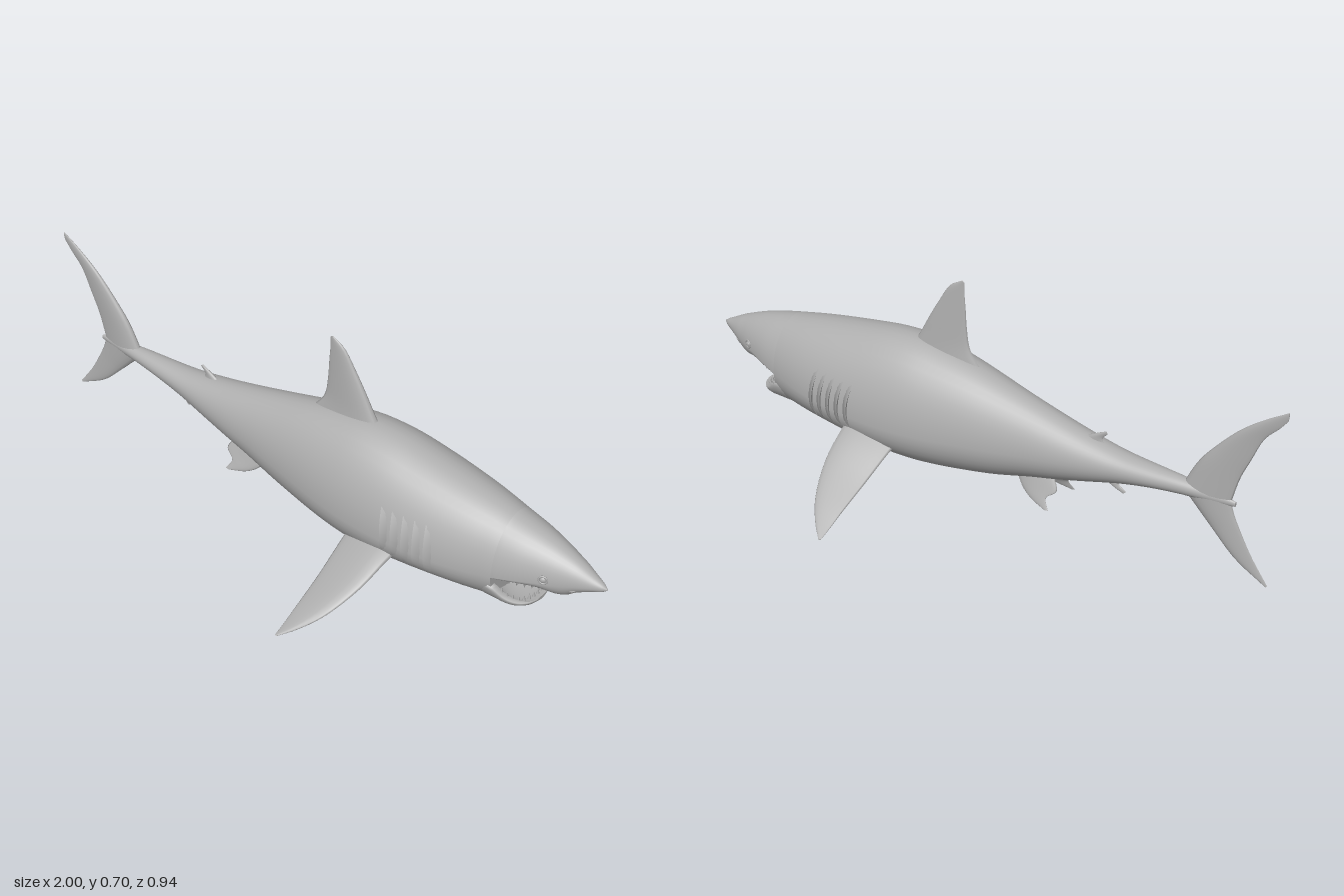
import * as THREE from 'three';

const skin = new THREE.MeshStandardMaterial({ color: 0xb0b0b0 });
skin.name = 'grey skin';

// Body stations: x, top, bottom, half width, height of the widest line
const BODY = [
  [-0.86, 0.305, 0.290, 0.004, 0.298], [-0.80, 0.315, 0.280, 0.013, 0.298],
  [-0.70, 0.322, 0.272, 0.026, 0.298], [-0.60, 0.325, 0.258, 0.038, 0.292],
  [-0.50, 0.330, 0.235, 0.050, 0.285], [-0.40, 0.345, 0.205, 0.065, 0.275],
  [-0.30, 0.366, 0.176, 0.080, 0.265], [-0.20, 0.390, 0.150, 0.095, 0.255],
  [-0.10, 0.415, 0.122, 0.113, 0.245], [0.00, 0.440, 0.102, 0.132, 0.238],
  [0.10, 0.460, 0.088, 0.150, 0.230], [0.20, 0.474, 0.080, 0.163, 0.225],
  [0.30, 0.471, 0.083, 0.168, 0.222], [0.40, 0.455, 0.094, 0.166, 0.222],
  [0.50, 0.437, 0.102, 0.157, 0.224], [0.60, 0.418, 0.106, 0.140, 0.229],
  [0.70, 0.396, 0.111, 0.115, 0.236],
];
// Snout above the mouth, same columns
const SNOUT = [
  [0.70, 0.396, 0.216, 0.115, 0.236], [0.76, 0.381, 0.219, 0.100, 0.248],
  [0.82, 0.364, 0.217, 0.080, 0.258], [0.86, 0.350, 0.207, 0.066, 0.262],
  [0.89, 0.338, 0.212, 0.054, 0.266], [0.92, 0.325, 0.235, 0.042, 0.272],
  [0.96, 0.304, 0.256, 0.024, 0.277], [0.985, 0.291, 0.266, 0.012, 0.279],
  [1.00, 0.281, 0.277, 0.002, 0.279],
];
// Lower jaw: x, rim, bottom, half width, hollow depth ratio
const JAW = [
  [0.66, 0.205, 0.108, 0.113, 0.6], [0.70, 0.200, 0.110, 0.112, 0.6],
  [0.735, 0.172, 0.114, 0.100, 0.5], [0.765, 0.156, 0.120, 0.082, 0.35],
  [0.79, 0.150, 0.128, 0.055, 0.15], [0.803, 0.149, 0.138, 0.025, 0],
];

const V = (x, y, z) => new THREE.Vector3(x, y, z);

// Smooth interpolation of a station table at x
function sample(rows, x) {
  let i = 0;
  while (i < rows.length - 2 && x > rows[i + 1][0]) i++;
  const slope = (k, c) => {
    const a = rows[Math.max(k - 1, 0)], b = rows[Math.min(k + 1, rows.length - 1)];
    return (b[c] - a[c]) / (b[0] - a[0]);
  };
  const a = rows[i], b = rows[i + 1], h = b[0] - a[0], t = (x - a[0]) / h;
  const t2 = t * t, t3 = t2 * t;
  return a.map((v, c) => c === 0 ? x
    : (2 * t3 - 3 * t2 + 1) * v + (t3 - 2 * t2 + t) * h * slope(i, c)
    + (3 * t2 - 2 * t3) * b[c] + (t3 - t2) * h * slope(i + 1, c));
}

// Table subdivided between stations
function stations(rows, n) {
  const out = [];
  for (let i = 0; i < rows.length - 1; i++)
    for (let k = 0; k < n; k++)
      out.push(sample(rows, rows[i][0] + (rows[i + 1][0] - rows[i][0]) * k / n));
  out.push(rows[rows.length - 1]);
  return out;
}

// Closed skin over rings of equal length, capped at both ends, always facing out
function loft(name, rings) {
  const n = rings[0].length, pts = rings.flat(), idx = [];
  for (let r = 0; r < rings.length - 1; r++)
    for (let k = 0; k < n; k++) {
      const a = r * n + k, b = r * n + (k + 1) % n;
      idx.push(a, b, a + n, b, b + n, a + n);
    }
  [rings[0], rings[rings.length - 1]].forEach((ring, end) => {
    const s = pts.length, c = V(0, 0, 0);
    ring.forEach(p => c.addScaledVector(p, 1 / n));
    pts.push(...ring, c);
    for (let k = 0; k < n; k++) {
      const a = s + k, b = s + (k + 1) % n;
      idx.push(...(end ? [a, b, s + n] : [b, a, s + n]));
    }
  });
  let volume = 0;
  for (let i = 0; i < idx.length; i += 3)
    volume += pts[idx[i]].dot(pts[idx[i + 1]].clone().cross(pts[idx[i + 2]]));
  if (volume < 0) idx.reverse();
  const g = new THREE.BufferGeometry().setFromPoints(pts);
  g.setIndex(idx);
  g.computeVertexNormals();
  return part(name, g);
}

function part(name, geometry) {
  const m = new THREE.Mesh(geometry, skin);
  m.name = name;
  return m;
}

// Egg-shaped section from a body station
function section([x, top, bottom, w, mid]) {
  return Array.from({ length: 40 }, (_, k) => {
    const a = k / 40 * Math.PI * 2, s = Math.sin(a);
    return V(x, mid + s * (s > 0 ? top - mid : mid - bottom), w * Math.cos(a));
  });
}

// Half width of the surface at a given x and y
function surfaceZ(rows, x, y) {
  const [, top, bottom, w, mid] = sample(rows, x);
  const u = (y - mid) / (y > mid ? top - mid : mid - bottom);
  return w * Math.sqrt(Math.max(0, 1 - u * u));
}

// Fin from leading and trailing edge points, root to tip, thick along normal
function fin(name, lead, trail, thick, normal, steps = 18) {
  const L = new THREE.CatmullRomCurve3(lead.map(p => V(...p)));
  const T = new THREE.CatmullRomCurve3(trail.map(p => V(...p)));
  const rings = [];
  for (let i = 0; i <= steps; i++) {
    const t = i / steps, l = L.getPoint(t), e = T.getPoint(t);
    const th = thick * (1 - t) + 0.002;
    rings.push(Array.from({ length: 18 }, (_, k) => {
      const a = k / 18 * Math.PI * 2, c = (1 - Math.cos(a)) / 2;
      return l.clone().lerp(e, c).addScaledVector(normal, th * Math.sin(a) * (1.25 - 0.7 * c));
    }));
  }
  return loft(name, rings);
}

export function createModel() {
  const shark = new THREE.Group();
  shark.name = 'shark';
  const side = V(0, 0, 1);

  shark.add(loft('body', stations(BODY, 3).map(section)));
  shark.add(loft('snout', stations(SNOUT, 4).map(section)));

  // Hollow lower jaw
  shark.add(loft('lowerJaw', stations(JAW, 4).map(([x, rim, bottom, w, hollow]) => {
    const ring = [], d = rim - bottom;
    for (let k = 0; k <= 20; k++) {
      const a = k / 20 * Math.PI;
      ring.push(V(x, rim - d * Math.sin(a), w * Math.cos(a)));
    }
    for (let k = 16; k >= 0; k--) {
      const a = k / 16 * Math.PI;
      ring.push(V(x, rim - d * hollow * Math.sin(a), 0.82 * w * Math.cos(a)));
    }
    return ring;
  })));

  // Teeth along both jaws
  const toothShape = new THREE.ConeGeometry(0.006, 0.022, 6);
  for (let i = -7; i <= 7; i++) {
    const a = i / 7 * 1.35, c = Math.cos(a), s = Math.sin(a);
    const upper = part('upperTooth', toothShape);
    const [ux, uz] = [0.715 + 0.12 * c, 0.085 * s];
    const [, , bottom, w, mid] = sample(SNOUT, ux);
    const uy = mid - (mid - bottom) * Math.sqrt(Math.max(0, 1 - (uz / w) ** 2));
    upper.position.set(ux, uy - 0.005, uz);
    upper.rotation.x = Math.PI;
    const lower = part('lowerTooth', toothShape);
    const lx = 0.705 + 0.082 * c;
    lower.position.set(lx, sample(JAW, lx)[1] + 0.003, 0.09 * s);
    shark.add(upper, lower);
  }

  // Dorsal, anal and tail fins
  shark.add(
    fin('dorsalFin',
      [[0.24, 0.44, 0], [0.21, 0.49, 0], [0.175, 0.555, 0], [0.14, 0.615, 0], [0.10, 0.675, 0], [0.06, 0.70, 0]],
      [[-0.01, 0.43, 0], [0.03, 0.485, 0], [0.042, 0.55, 0], [0.046, 0.61, 0], [0.05, 0.66, 0], [0.05, 0.695, 0]],
      0.022, side),
    fin('secondDorsalFin',
      [[-0.36, 0.335, 0], [-0.405, 0.36, 0], [-0.44, 0.378, 0]],
      [[-0.445, 0.32, 0], [-0.43, 0.35, 0], [-0.446, 0.37, 0]], 0.008, side),
    fin('analFin',
      [[-0.43, 0.23, 0], [-0.47, 0.21, 0], [-0.505, 0.196, 0]],
      [[-0.49, 0.25, 0], [-0.49, 0.222, 0], [-0.515, 0.205, 0]], 0.007, side),
    fin('upperTailLobe',
      [[-0.69, 0.295, 0], [-0.74, 0.395, 0], [-0.79, 0.46, 0], [-0.86, 0.535, 0], [-0.93, 0.59, 0], [-0.995, 0.632, 0]],
      [[-0.845, 0.295, 0], [-0.868, 0.385, 0], [-0.895, 0.45, 0], [-0.93, 0.53, 0], [-0.97, 0.575, 0], [-0.993, 0.605, 0]],
      0.016, side),
    fin('lowerTailLobe',
      [[-0.69, 0.30, 0], [-0.745, 0.245, 0], [-0.79, 0.20, 0], [-0.87, 0.125, 0], [-0.97, 0.07, 0]],
      [[-0.845, 0.305, 0], [-0.858, 0.265, 0], [-0.88, 0.22, 0], [-0.92, 0.15, 0], [-0.975, 0.075, 0]],
      0.016, side));

  // Paired parts
  for (const s of [1, -1]) {
    const tag = s > 0 ? 'left' : 'right';
    const put = pts => pts.map(([x, y, z]) => [x, y, z * s]);
    shark.add(
      fin(tag + 'PectoralFin',
        put([[0.40, 0.185, 0.11], [0.39, 0.163, 0.175], [0.37, 0.115, 0.27], [0.325, 0.06, 0.37], [0.275, 0.025, 0.432], [0.23, 0.002, 0.472]]),
        put([[0.215, 0.165, 0.11], [0.218, 0.135, 0.175], [0.222, 0.088, 0.27], [0.224, 0.045, 0.37], [0.224, 0.018, 0.43], [0.224, 0.003, 0.468]]),
        0.022, V(0, 0.91, 0.41 * s)),
      fin(tag + 'PelvicFin',
        put([[-0.16, 0.17, 0.03], [-0.185, 0.135, 0.045], [-0.225, 0.108, 0.058], [-0.285, 0.092, 0.07]]),
        put([[-0.29, 0.19, 0.03], [-0.31, 0.152, 0.045], [-0.282, 0.125, 0.058], [-0.298, 0.094, 0.07]]),
        0.01, V(0, 0.4, 0.92 * s)));

    // Gill flaps, flush in front and lifted behind
    for (let i = 0; i < 5; i++) {
      const rings = [];
      for (let k = 0; k <= 14; k++) {
        const t = k / 14, bow = Math.sin(Math.PI * t);
        const x = 0.348 + 0.036 * i + 0.012 * t + 0.008 * bow;
        const y = 0.34 - (0.16 + 0.008 * i) * t;
        const at = (dx, off) => V(x + dx, y, s * (surfaceZ(BODY, x + dx, y) + off));
        rings.push([at(0.026, -0.003), at(0, 0.011 * bow - 0.002), at(0, 0.011 * bow - 0.002),
          at(0.006, -0.008), at(0.006, -0.008)]);
      }
      shark.add(loft(tag + 'GillFlap', rings));
    }

    // Eye in a raised rim, and nostril
    const eye = new THREE.Group();
    eye.name = tag + 'Eye';
    const ball = part('eyeball', new THREE.SphereGeometry(0.009, 16, 12));
    ball.scale.z = 0.6;
    eye.add(ball, part('eyeRim', new THREE.TorusGeometry(0.012, 0.003, 8, 24)));
    eye.position.set(0.84, 0.276, s * surfaceZ(SNOUT, 0.84, 0.276));
    eye.rotation.y = s > 0 ? 0.36 : Math.PI - 0.36;
    const nostril = part(tag + 'Nostril', new THREE.TorusGeometry(0.007, 0.0025, 8, 16, 4.4));
    nostril.position.set(0.915, 0.25, s * surfaceZ(SNOUT, 0.915, 0.25));
    nostril.rotation.set(s * 0.5, s * 0.45, 0);
    shark.add(eye, nostril);
  }
  return shark;
}
